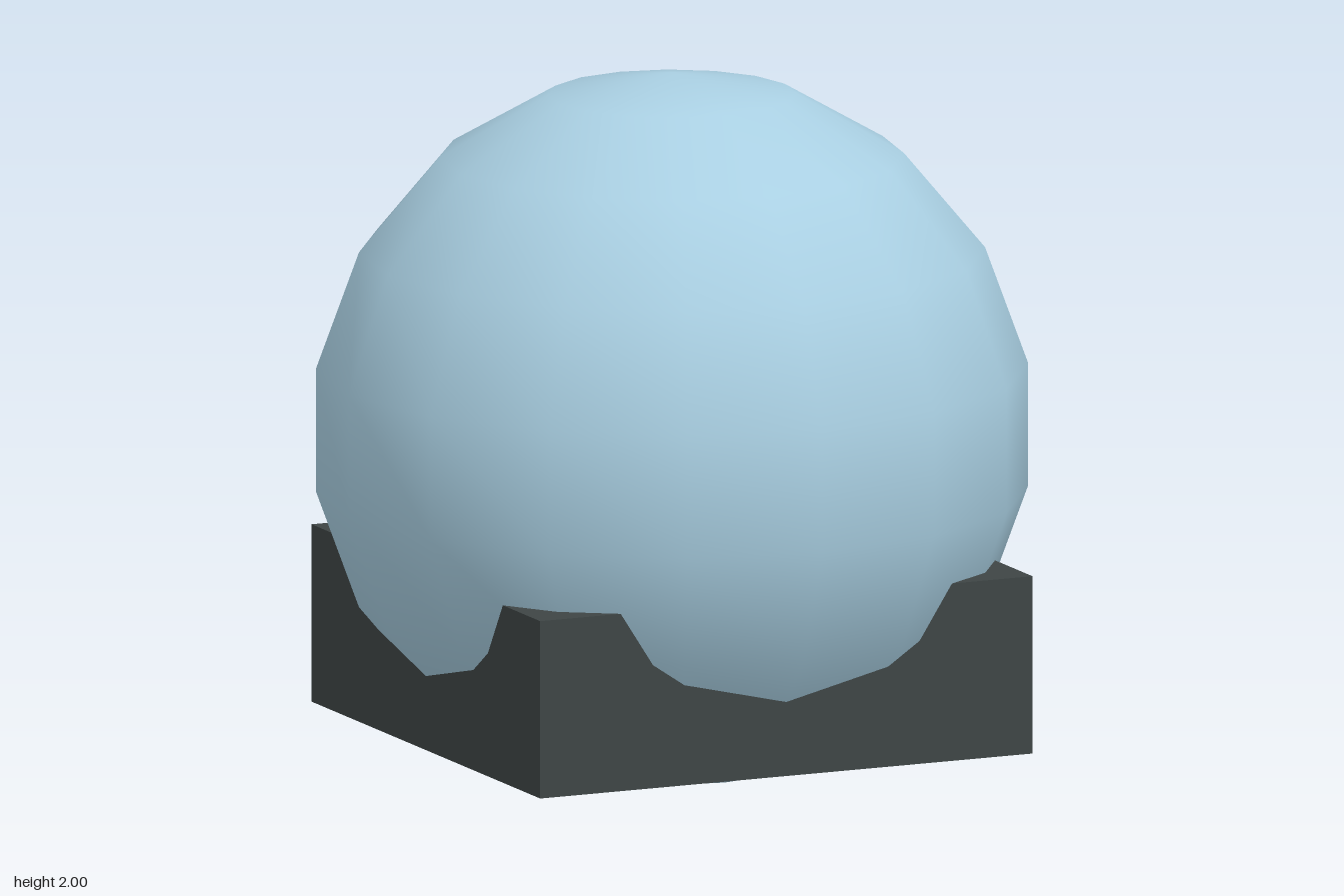
import * as THREE from 'three';

export function createModel() {
  const model = new THREE.Group();
  const paleBlue = new THREE.MeshStandardMaterial({ name: 'pale blue', color: 0xa9cfe2 });
  const charcoal = new THREE.MeshStandardMaterial({ name: 'charcoal', color: 0x3e4545 });

  const addPart = (name, geometry, material, y) => {
    const mesh = new THREE.Mesh(geometry, material);
    mesh.name = name;
    mesh.position.y = y;
    model.add(mesh);
  };

  // Smooth-shaded ball, pushing out through the sides and underside of the base
  addPart('ball', new THREE.SphereGeometry(1, 16, 9), paleBlue, 1);
  // Square block holding the ball
  addPart('base', new THREE.BoxGeometry(1.5, 0.5, 1.5), charcoal, 0.403);

  return model;
}
